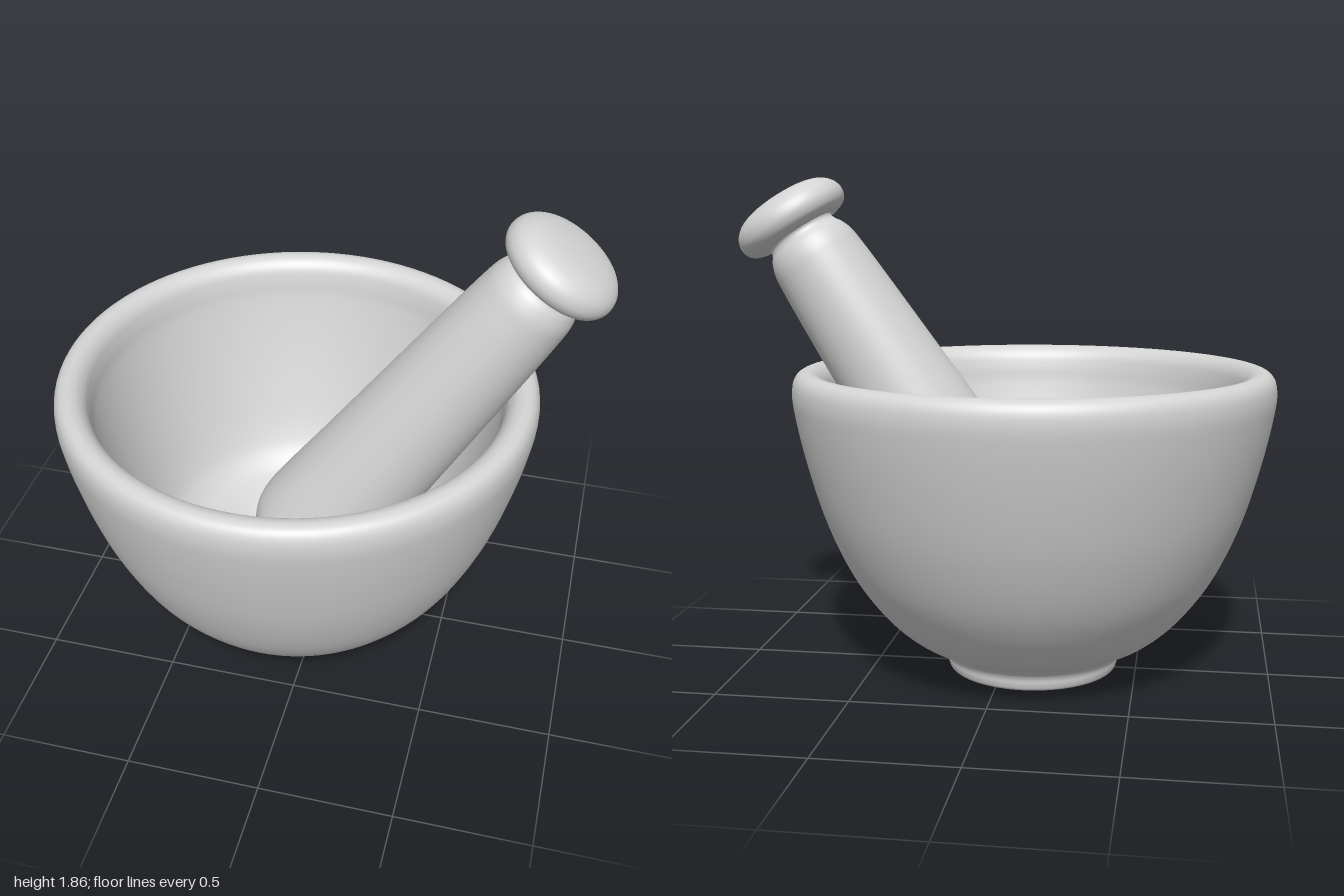
import * as THREE from 'three';

// Smooth lathe from a few [radius, height] points
function turned(points, samples, material, name) {
  const curve = new THREE.CatmullRomCurve3(
    points.map(([r, y]) => new THREE.Vector3(r, y, 0)), false, 'centripetal');
  const profile = curve.getPoints(samples).map(p => new THREE.Vector2(Math.max(0, p.x), p.y));
  const mesh = new THREE.Mesh(new THREE.LatheGeometry(profile, 96), material);
  mesh.name = name;
  return mesh;
}

export function createModel() {
  const model = new THREE.Group();
  model.name = 'mortarAndPestle';
  const stone = new THREE.MeshStandardMaterial({ color: 0xd4d4d4, side: THREE.DoubleSide });
  stone.name = 'grey stone';

  // Mortar: foot, outer wall, rounded rim, thick inner wall, shoulder and sunken floor
  const mortar = turned([
    [0, 0], [0.15, 0], [0.298, 0], [0.317, 0.006], [0.325, 0.025], [0.329, 0.05],
    [0.341, 0.07], [0.383, 0.095], [0.46, 0.136], [0.543, 0.203], [0.623, 0.295],
    [0.698, 0.41], [0.783, 0.6], [0.847, 0.81], [0.887, 0.99],
    [0.897, 1.07], [0.89, 1.12], [0.872, 1.145], [0.842, 1.155],
    [0.81, 1.146], [0.784, 1.118], [0.769, 1.07], [0.757, 1.0],
    [0.705, 0.8], [0.642, 0.6], [0.578, 0.43], [0.533, 0.347],
    [0.48, 0.295], [0.42, 0.262], [0.35, 0.229], [0.29, 0.19],
    [0.248, 0.155], [0.229, 0.134], [0.218, 0.13], [0.1, 0.13], [0, 0.13],
  ], 240, stone, 'mortar');
  mortar.position.x = -0.103;
  model.add(mortar);

  // Pestle: origin at the centre of its round grinding end
  const pestle = new THREE.Group();
  pestle.name = 'pestle';
  const grinder = [];
  for (let i = 0; i <= 6; i++) {
    const a = (i / 6) * Math.PI / 2;
    grinder.push([0.25 * Math.sin(a), -0.25 * Math.cos(a)]);
  }
  pestle.add(turned([
    ...grinder, [0.229, 0.4], [0.204, 0.85], [0.176, 1.32],
    [0.168, 1.385], [0.153, 1.425], [0.137, 1.45], [0.133, 1.465], [0.143, 1.485],
  ], 110, stone, 'shaft'));

  // Flattened round knob
  pestle.add(turned([
    [0, 1.475], [0.14, 1.472], [0.175, 1.475], [0.205, 1.49], [0.22, 1.522],
    [0.213, 1.56], [0.185, 1.592], [0.14, 1.613], [0.07, 1.624], [0, 1.627],
  ], 60, stone, 'knob'));

  const base = new THREE.Vector3(-0.029, 0.42, -0.01);
  const axis = new THREE.Vector3(0.801, 1.697, -0.05).sub(base).normalize();
  pestle.position.copy(base);
  pestle.quaternion.setFromUnitVectors(new THREE.Vector3(0, 1, 0), axis);
  model.add(pestle);

  return model;
}
